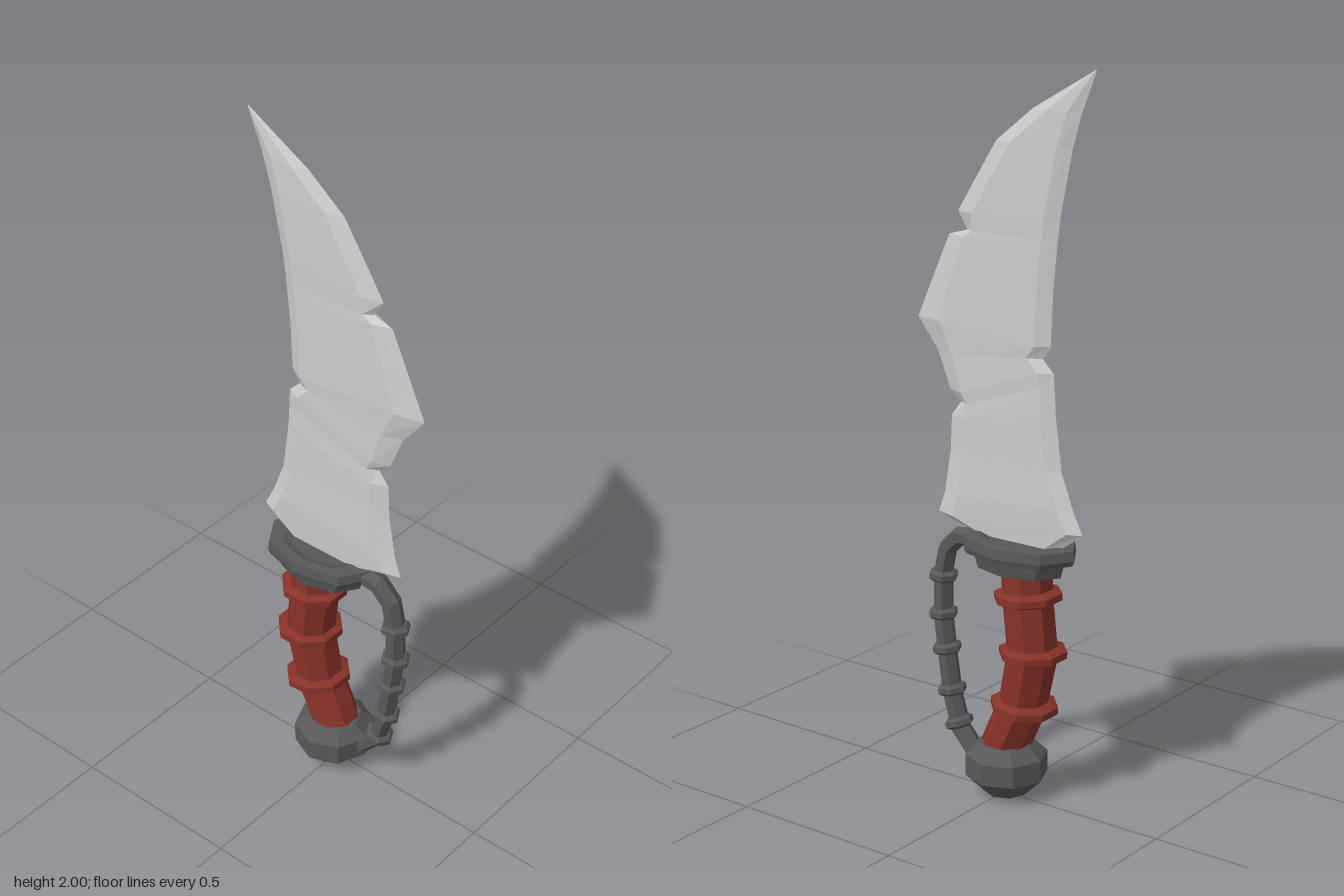
import * as THREE from 'three';

const steel = new THREE.MeshStandardMaterial({ color: 0xcccccc });
steel.name = 'blade steel';
const iron = new THREE.MeshStandardMaterial({ color: 0x585858 });
iron.name = 'dark iron';
const leather = new THREE.MeshStandardMaterial({ color: 0x873228 });
leather.name = 'red leather';

// Faceted normals for the low-poly look
function facet(geometry) {
  const g = geometry.index ? geometry.toNonIndexed() : geometry;
  g.computeVertexNormals();
  return g;
}

// Skin a list of equal-length loops and cap both ends
function loft(loops) {
  const pos = [];
  const tri = (...p) => p.forEach((v) => pos.push(v.x, v.y, v.z));
  const n = loops[0].length;
  for (let j = 0; j < loops.length - 1; j++) {
    const a = loops[j], b = loops[j + 1];
    for (let i = 0; i < n; i++) {
      const k = (i + 1) % n;
      tri(a[i], a[k], b[k]);
      tri(a[i], b[k], b[i]);
    }
  }
  const middle = (l) => l.reduce((s, p) => s.add(p), new THREE.Vector3()).divideScalar(n);
  const first = loops[0], last = loops[loops.length - 1];
  const c0 = middle(first), c1 = middle(last);
  for (let i = 0; i < n; i++) {
    const k = (i + 1) % n;
    tri(c0, first[k], first[i]);
    tri(c1, last[i], last[k]);
  }
  const g = new THREE.BufferGeometry();
  g.setAttribute('position', new THREE.Float32BufferAttribute(pos, 3));
  return facet(g);
}

// Sweep a polygon along a path in the zy plane; path entries are [z, y, rx, rDepth]
function sweep(path, sides) {
  const pts = path.map(([z, y]) => new THREE.Vector3(0, y, z));
  const xAxis = new THREE.Vector3(1, 0, 0);
  return loft(path.map(([, , rx, rd], j) => {
    const t = pts[Math.min(j + 1, pts.length - 1)].clone().sub(pts[Math.max(j - 1, 0)]).normalize();
    const nrm = t.cross(xAxis);
    return Array.from({ length: sides }, (_, i) => {
      const a = ((i + 0.5) / sides) * Math.PI * 2;
      return pts[j].clone().addScaledVector(xAxis, Math.cos(a) * rx).addScaledVector(nrm, Math.sin(a) * rd);
    });
  }));
}

// Short collar around a point, tilted along direction [dz, dy]
function collar(z, y, dz, dy, half, inner, outer, sides) {
  const len = Math.hypot(dz, dy);
  return sweep([[-1, inner], [-0.5, outer], [0.5, outer], [1, inner]].map(([s, r]) =>
    [z + (s * half * dz) / len, y + (s * half * dy) / len, r, r]), sides);
}

function lathe(profile, sides) {
  return facet(new THREE.LatheGeometry(profile.map(([r, y]) => new THREE.Vector2(r, y)), sides));
}

export function createModel() {
  const model = new THREE.Group();
  const add = (name, geometry, material, parent = model) => {
    const m = new THREE.Mesh(geometry, material);
    m.name = name;
    parent.add(m);
    return m;
  };

  // Blade rows: front edge y, z; back edge y, z; half thickness; front bevel width
  const rows = [
    [0.735, 0.10, 0.735, -0.18, 0.014, 0.04],
    [0.77, 0.222, 0.79, -0.255, 0.017, 0.06],
    [0.83, 0.20, 0.85, -0.225, 0.019, 0.055],
    [0.95, 0.18, 0.95, -0.187, 0.018, 0.05],
    [1.05, 0.175, 1.10, -0.167, 0.019, 0.05],
    [1.09, 0.143, 1.17, -0.163, 0.017, 0.03],
    [1.12, 0.18, 1.21, -0.16, 0.019, 0.05],
    [1.22, 0.22, 1.245, -0.125, 0.018, 0.06],
    [1.305, 0.287, 1.28, -0.15, 0.02, 0.085],
    [1.42, 0.235, 1.42, -0.156, 0.019, 0.07],
    [1.54, 0.18, 1.52, -0.166, 0.018, 0.06],
    [1.557, 0.12, 1.56, -0.17, 0.017, 0.025],
    [1.605, 0.15, 1.62, -0.178, 0.018, 0.06],
    [1.70, 0.09, 1.70, -0.194, 0.017, 0.055],
    [1.80, 0.025, 1.80, -0.215, 0.016, 0.055],
    [1.89, -0.09, 1.89, -0.242, 0.013, 0.05],
    [2.0, -0.284, 2.0, -0.286, 0.001, 0.0005],
  ];
  add('blade', loft(rows.map(([yf, zf, yb, zb, h, bevel]) => {
    const back = Math.min(0.04, (zf - zb) * 0.25);
    const v = (x, y, z) => new THREE.Vector3(x, y, z);
    return [
      v(h, yb, zb + back), v(0, yb, zb), v(-h, yb, zb + back),
      v(-h, yf, zf - bevel), v(0, yf, zf), v(h, yf, zf - bevel),
    ];
  })), steel);

  // Oval two-tier guard with a slightly sunken top
  const guard = add('guard', lathe([
    [0, 0.66], [0.086, 0.66], [0.094, 0.70], [0.110, 0.70],
    [0.115, 0.715], [0.112, 0.742], [0.084, 0.745], [0.064, 0.736], [0, 0.736],
  ], 8), iron);
  guard.scale.z = 1.55;
  guard.position.z = -0.052;

  // Curved grip with raised bands
  const grip = new THREE.Group();
  grip.name = 'grip';
  model.add(grip);
  add('gripCore', sweep([
    [0.005, 0.12, 0.07, 0.066], [-0.02, 0.18, 0.07, 0.066], [-0.062, 0.27, 0.07, 0.066],
    [-0.095, 0.43, 0.074, 0.07], [-0.078, 0.59, 0.073, 0.07], [-0.075, 0.68, 0.073, 0.07],
  ], 8), leather, grip);
  for (const [z, y, dz] of [[-0.068, 0.273, -0.1], [-0.097, 0.433, 0], [-0.08, 0.59, 0.05]]) {
    add('gripBand', collar(z, y, dz, 1, 0.019, 0.072, 0.094, 8), leather, grip);
  }

  // Faceted pommel with a small recess underneath
  add('pommel', lathe([
    [0, 0.014], [0.025, 0.012], [0.035, 0], [0.06, 0.008], [0.114, 0.06], [0.114, 0.12], [0.076, 0.155], [0, 0.155],
  ], 8), iron).position.z = -0.008;

  // Knuckle bow with collars
  const bow = new THREE.Group();
  bow.name = 'knuckleBow';
  model.add(bow);
  const path = [
    [0.03, 0.095], [0.10, 0.10], [0.15, 0.155], [0.178, 0.25], [0.197, 0.38],
    [0.209, 0.48], [0.207, 0.60], [0.192, 0.67], [0.15, 0.712], [0.07, 0.722],
  ];
  add('bowBar', sweep(path.map(([z, y]) => [z, y, 0.03, 0.027]), 6), iron, bow);
  for (const [z, y, dz] of [[0.156, 0.17, 0.35], [0.18, 0.262, 0.17], [0.197, 0.38, 0.13], [0.209, 0.48, 0.06], [0.208, 0.59, -0.05]]) {
    add('bowCollar', collar(z, y, dz, 1, 0.015, 0.032, 0.042, 6), iron, bow);
  }
  return model;
}
